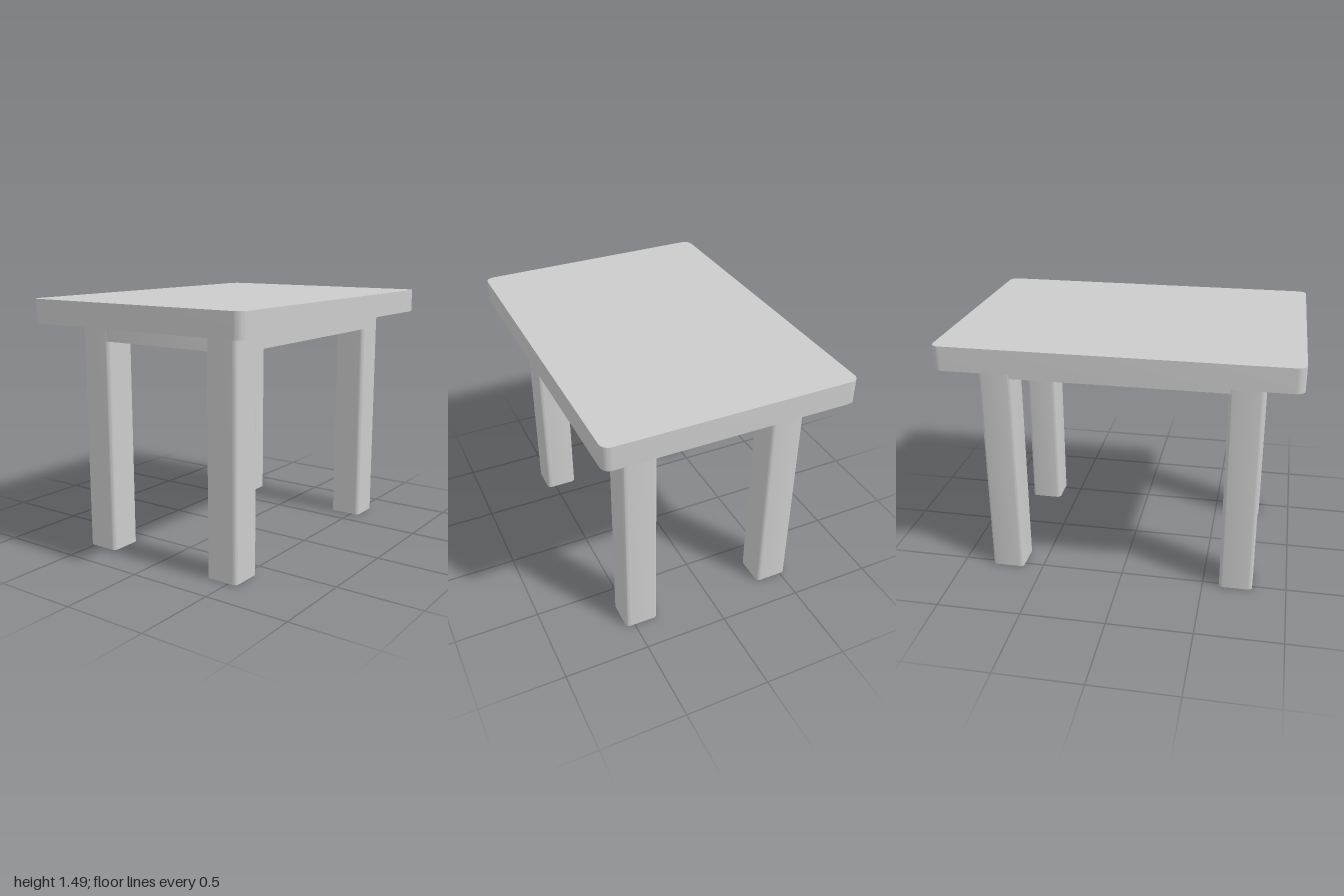
import * as THREE from 'three';
import { toCreasedNormals } from 'three/addons/utils/BufferGeometryUtils.js';

const material = new THREE.MeshStandardMaterial({ color: 0xcccccc });

// Upright block with rounded vertical corners, given by its bounds
function roundedBlock(name, [x0, x1], [y0, y1], [z0, z1], r) {
  const w = (x1 - x0) / 2, d = (z1 - z0) / 2;
  const shape = new THREE.Shape();
  shape.absarc(w - r, d - r, r, 0, Math.PI / 2);
  shape.absarc(r - w, d - r, r, Math.PI / 2, Math.PI);
  shape.absarc(r - w, r - d, r, Math.PI, Math.PI * 1.5);
  shape.absarc(w - r, r - d, r, Math.PI * 1.5, Math.PI * 2);
  const geometry = new THREE.ExtrudeGeometry(shape, {
    depth: y1 - y0, bevelEnabled: false, curveSegments: 5,
  });
  geometry.rotateX(-Math.PI / 2);
  geometry.translate((x0 + x1) / 2, y0, (z0 + z1) / 2);
  const mesh = new THREE.Mesh(toCreasedNormals(geometry, 0.6), material);
  mesh.name = name;
  return mesh;
}

export function createModel() {
  const table = new THREE.Group();
  table.name = 'table';

  // Overhanging top and the solid slab beneath it
  table.add(roundedBlock('tabletop', [-0.725, 0.725], [1.355, 1.494], [-1, 1], 0.05));
  table.add(roundedBlock('underframe', [-0.534, 0.55], [1.255, 1.355], [-0.817, 0.798], 0.02));

  // Four square legs with softened corners
  const sides = { right: [-0.536, -0.336], left: [0.353, 0.552] };
  const ends = { front: [0.6, 0.799], back: [-0.815, -0.618] };
  for (const [end, z] of Object.entries(ends)) {
    for (const [side, x] of Object.entries(sides)) {
      const name = `${end}${side[0].toUpperCase()}${side.slice(1)}Leg`;
      table.add(roundedBlock(name, x, [0, 1.355], z, 0.025));
    }
  }
  return table;
}
